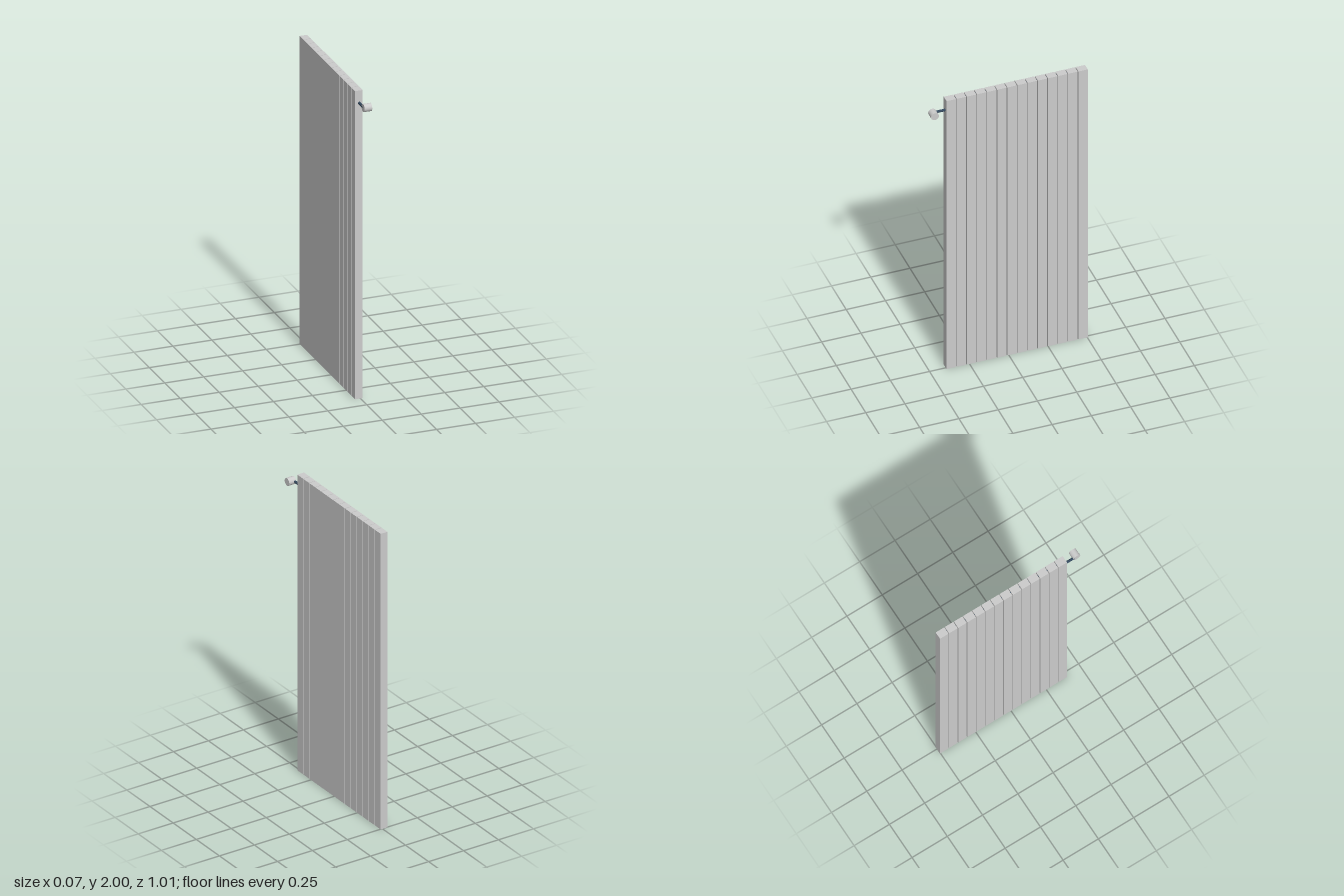
import * as THREE from 'three';

const SLATS = 14, PITCH = 0.0646, WIDTH = 0.06, DEPTH = 0.048;
const BACK = -0.503, SLAT_X = -0.01, STEM_Y = 1.92;

export function createModel() {
  const model = new THREE.Group();
  const grey = new THREE.MeshStandardMaterial({ color: 0xcccccc });
  const dark = new THREE.MeshStandardMaterial({ color: 0x34495e });
  const add = (name, geometry, material, x, y, z, parent = model) => {
    const mesh = new THREE.Mesh(geometry, material);
    mesh.name = name;
    mesh.position.set(x, y, z);
    parent.add(mesh);
    return mesh;
  };

  // Row of upright slats, with a thin dark web in each gap
  const panel = new THREE.Group();
  panel.name = 'slatPanel';
  model.add(panel);
  const slat = new THREE.BoxGeometry(DEPTH, 2, WIDTH);
  const web = new THREE.BoxGeometry(0.002, 1.99, PITCH - WIDTH);
  for (let i = 0; i < SLATS; i++) {
    const z = BACK + WIDTH / 2 + i * PITCH;
    add('slat', slat, grey, SLAT_X, 1, z, panel);
    if (i < SLATS - 1) add('gapWeb', web, dark, SLAT_X, 1, z + PITCH / 2, panel);
  }

  // Valve stem leaving the front edge
  const stem = new THREE.CylinderGeometry(0.008, 0.008, 0.08, 24).rotateX(Math.PI / 2);
  add('valveStem', stem, dark, -0.008, STEM_Y, 0.425);

  // Round control knob lying across the stem
  const knob = new THREE.CylinderGeometry(0.025, 0.025, 0.049, 32).rotateZ(Math.PI / 2);
  add('controlKnob', knob, grey, 0.0095, STEM_Y, 0.478);

  return model;
}
